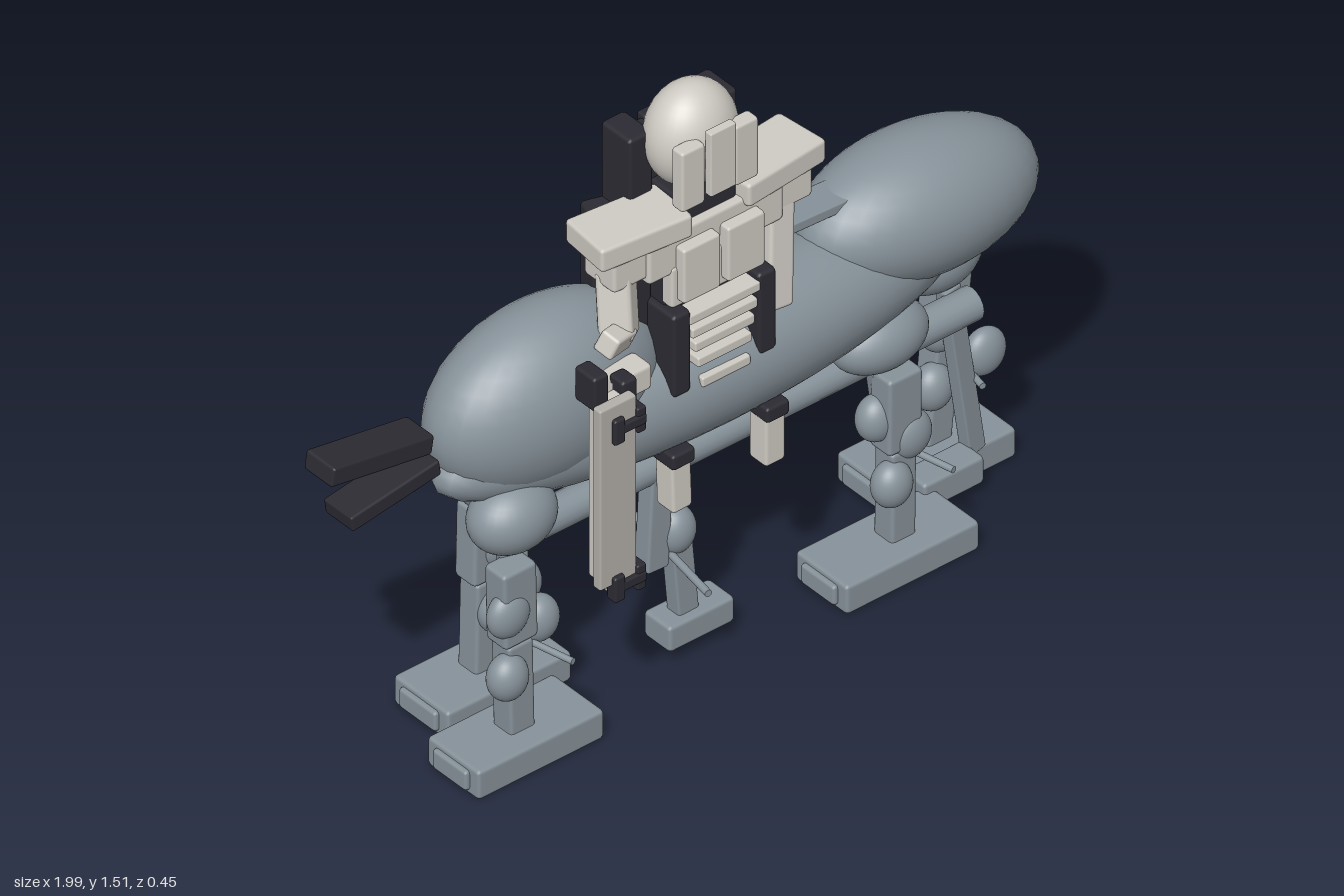
import * as THREE from 'three';
import { RoundedBoxGeometry } from 'three/addons/geometries/RoundedBoxGeometry.js';

const mat = (name, color) => Object.assign(new THREE.MeshStandardMaterial({ color }), { name });

export function createModel() {
  const grey = mat('steel grey', 0x87929a);
  const light = mat('pale armour', 0xcfcbc4);
  const panel = mat('shield panel', 0xb3afa9);
  const dark = mat('dark frame', 0x2c2b33);
  const model = new THREE.Group();
  model.name = 'walker';

  const add = (name, geo, m, p, parent = model) => {
    const mesh = new THREE.Mesh(geo, m);
    mesh.name = name;
    mesh.position.set(...p);
    parent.add(mesh);
    return mesh;
  };
  // softly bevelled box given by its extents in x, y and z
  const box = (name, m, [x0, x1], [y0, y1], [z0, z1], parent) => {
    const s = [x1 - x0, y1 - y0, z1 - z0];
    const geo = new RoundedBoxGeometry(...s, 1, Math.min(0.01, Math.min(...s) * 0.2));
    return add(name, geo, m, [(x0 + x1) / 2, (y0 + y1) / 2, (z0 + z1) / 2], parent);
  };
  const egg = (name, m, p, r, parent) => {
    const e = add(name, new THREE.SphereGeometry(1, 32, 20), m, p, parent);
    e.scale.set(...r);
    return e;
  };
  // box of section w by d reaching from a to b
  const strut = (name, m, a, b, w, d, parent) => {
    const A = new THREE.Vector3(...a), B = new THREE.Vector3(...b);
    const dir = B.clone().sub(A);
    const geo = new RoundedBoxGeometry(w, dir.length(), d, 1, Math.min(w, d) * 0.15);
    const s = add(name, geo, m, A.add(B).multiplyScalar(0.5).toArray(), parent);
    s.quaternion.setFromUnitVectors(new THREE.Vector3(0, 1, 0), dir.normalize());
    return s;
  };
  const rod = (name, m, a, b, r, parent) => {
    const A = new THREE.Vector3(...a), B = new THREE.Vector3(...b);
    const dir = B.clone().sub(A);
    const c = add(name, new THREE.CylinderGeometry(r, r, dir.length(), 16), m,
      A.add(B).multiplyScalar(0.5).toArray(), parent);
    c.quaternion.setFromUnitVectors(new THREE.Vector3(0, 1, 0), dir.normalize());
  };

  // long body
  egg('barrel', grey, [0.05, 0.745, -0.015], [0.74, 0.163, 0.167]);
  egg('rearMass', grey, [-0.375, 0.845, -0.03], [0.31, 0.218, 0.17]).rotation.z = 0.03;
  egg('frontMass', grey, [0.675, 0.85, -0.027], [0.316, 0.17, 0.172]).rotation.z = -0.07;
  rod('underBeam', grey, [-0.5, 0.52, 0], [0.81, 0.52, 0], 0.041);
  strut('backRail', grey, [0.2, 0.975, -0.035], [0.47, 0.962, -0.035], 0.026, 0.09);

  // split tail
  strut('upperTail', dark, [-1, 0.928, -0.033], [-0.715, 0.882, -0.033], 0.05, 0.095);
  strut('lowerTail', dark, [-0.945, 0.775, -0.033], [-0.695, 0.812, -0.033], 0.042, 0.095);

  // four jointed legs: hip, upright, foot extents, knees
  const legs = [
    { name: 'rearOuterLeg', hip: [-0.53, 0.63, 0.055], r: [0.11, 0.088, 0.085],
      top: [-0.55, 0.52, 0.075], low: [-0.54, 0.07, 0.075], foot: [-0.715, -0.36], z: [-0.01, 0.165],
      knees: [[-0.58, 0.24, 0.1], [-0.57, 0.4, 0.09], [-0.46, 0.32, 0.06]] },
    { name: 'rearInnerLeg', hip: [-0.43, 0.61, -0.095], r: [0.115, 0.088, 0.088],
      top: [-0.45, 0.52, -0.14], low: [-0.46, 0.07, -0.14], foot: [-0.63, -0.28], z: [-0.225, -0.04],
      knees: [[-0.44, 0.24, -0.1], [-0.42, 0.4, -0.12], [-0.41, 0.32, -0.06]] },
    { name: 'frontOuterLeg', hip: [0.505, 0.61, 0.05], r: [0.125, 0.08, 0.082],
      top: [0.535, 0.52, 0.075], low: [0.53, 0.07, 0.075], foot: [0.32, 0.695], z: [-0.01, 0.165],
      knees: [[0.5, 0.24, 0.1], [0.56, 0.34, 0.09], [0.49, 0.4, 0.06]] },
    { name: 'frontInnerLeg', hip: [0.775, 0.62, -0.095], r: [0.125, 0.09, 0.09],
      top: [0.86, 0.55, -0.14], low: [0.81, 0.06, -0.14], foot: [0.615, 0.97], z: [-0.225, -0.04],
      knees: [[0.79, 0.24, -0.11], [0.89, 0.32, -0.055], [0.8, 0.4, -0.1]] },
  ];
  for (const l of legs) {
    const g = new THREE.Group();
    g.name = l.name;
    model.add(g);
    egg('hip', grey, l.hip, l.r, g);
    const mid = l.top.map((v, i) => v * 0.55 + l.low[i] * 0.45);
    strut('upperLeg', grey, l.top, mid, 0.095, 0.07, g);
    strut('lowerLeg', grey, mid, l.low, 0.07, 0.065, g);
    const side = Math.sign(l.top[2]);
    strut('innerStrut', grey, [l.hip[0], 0.56, side * 0.04], [l.low[0] + 0.04, 0.08, side * 0.045], 0.05, 0.035, g);
    l.knees.forEach((k, i) => egg('knee', grey, k, i === 1 ? [0.055, 0.06, 0.035] : [0.05, 0.058, 0.043], g));
    rod('crossPin', grey, [l.low[0] + 0.07, 0.28, side * 0.19], [l.low[0] + 0.03, 0.28, 0], 0.008, g);
    box('foot', grey, l.foot, [0.005, 0.082], l.z, g);
    box('toeTab', grey, [l.foot[0] - 0.012, l.foot[0] + 0.03], [0.018, 0.07], [l.z[0] + 0.03, l.z[1] - 0.03], g);
  }
  box('frontFootLink', grey, [0.66, 0.83], [0.035, 0.108], [-0.06, 0.02]);

  // small middle leg
  strut('middleUpperLeg', grey, [-0.085, 0.52, 0.01], [-0.1, 0.255, 0.01], 0.062, 0.05);
  egg('middleKnee', grey, [-0.035, 0.325, 0.01], [0.05, 0.06, 0.045]);
  strut('middleLowerLeg', grey, [-0.035, 0.32, 0.015], [-0.015, 0.1, 0.015], 0.058, 0.045);
  box('middleFoot', grey, [-0.09, 0.095], [0.04, 0.108], [-0.03, 0.06]);
  rod('middlePin', grey, [-0.09, 0.28, 0.19], [-0.03, 0.28, -0.15], 0.009);

  // rider: head and face plates
  const rider = new THREE.Group();
  rider.name = 'rider';
  model.add(rider);
  egg('head', light, [0, 1.39, 0.022], [0.113, 0.13, 0.094], rider);
  box('faceCentre', light, [-0.036, 0.036], [1.29, 1.46], [0.112, 0.134], rider);
  box('neck', dark, [-0.075, 0.075], [1.17, 1.27], [-0.03, 0.09], rider);

  // rider: torso
  box('torsoCore', dark, [-0.13, 0.13], [0.8, 1.2], [-0.03, 0.095], rider);
  box('chestBlock', light, [-0.19, 0.19], [1.11, 1.22], [-0.02, 0.11], rider);
  box('lowerChest', light, [-0.13, 0.13], [1.02, 1.13], [-0.02, 0.115], rider);
  [0.99, 0.95, 0.91, 0.865, 0.81].forEach((y, i) => {
    const w = 0.1 - i * 0.008;
    box('abdomenSlat', light, [-w, w], [y - 0.013, y + 0.013], [0.06, 0.14 + (i === 4 ? 0.005 : 0)], rider);
  });
  for (const s of [-1, 1]) {
    const span = (a, b) => (s > 0 ? [a, b] : [-b, -a]);
    box('facePlate', light, span(0.042, 0.108), [1.275, 1.435], [0.085, 0.124], rider);
    box('chestPlate', light, span(0.01, 0.115), [1.04, 1.185], [0.1, 0.138], rider);
    box('shoulderPad', light, span(0.07, 0.31), [1.2, 1.262], [-0.03, 0.115], rider).rotation.y = s * 0.1;
    box('shoulderUnder', light, span(0.17, 0.28), [1.125, 1.21], [-0.005, 0.1], rider);
    box('waistStrap', dark, span(0.095, 0.145), [0.8, 1.02], [0.03, 0.14], rider);
    box('sideFrame', dark, span(0.13, 0.2), [0.92, 1.14], [-0.06, 0.05], rider);
    // peg legs hanging below the barrel
    strut('peg', light, [s * 0.15 - (s < 0 ? -0.04 : 0), 0.48, 0.1], [s * 0.15 - (s < 0 ? -0.035 : 0), 0.62, 0.1], 0.056, 0.06, rider);
    box('pegCap', dark, s > 0 ? [0.118, 0.182] : [-0.147, -0.083], [0.605, 0.645], [0.06, 0.14], rider);
    // back pack
    box('packTower', dark, span(0.085, 0.152), [0.93, 1.42], [-0.1, 0], rider);
    box('packSide', dark, span(0.13, 0.212), [0.9, 1.22], [-0.105, -0.03], rider).rotation.y = s * 0.3;
  }
  box('packSpine', dark, [-0.1, 0.1], [0.9, 1.37], [-0.108, -0.045], rider);
  box('packRidge', dark, [-0.035, 0.035], [0.92, 1.38], [-0.118, -0.09], rider);

  // rider: arms
  strut('leftArm', light, [0.2, 1.15, 0.06], [0.17, 0.88, 0.09], 0.075, 0.07, rider);
  strut('rightUpperArm', light, [-0.235, 1.15, 0.05], [-0.25, 0.99, 0.08], 0.08, 0.07, rider);
  strut('rightElbow', light, [-0.24, 1.0, 0.09], [-0.32, 1.02, 0.12], 0.055, 0.05, rider);
  box('rightForearm', light, [-0.33, -0.225], [0.885, 0.952], [0.1, 0.165], rider);

  // tall shield with dark clips
  const shield = new THREE.Group();
  shield.name = 'shield';
  model.add(shield);
  box('shieldFront', panel, [-0.415, -0.312], [0.455, 0.94], [0.188, 0.215], shield);
  box('shieldBack', light, [-0.4, -0.325], [0.46, 0.93], [0.155, 0.185], shield);
  box('topHook', dark, [-0.41, -0.368], [0.92, 1.01], [0.12, 0.19], shield);
  box('upperGrip', dark, [-0.33, -0.288], [0.83, 0.962], [0.14, 0.19], shield);
  for (const y of [0.87, 0.445]) {
    box('clipBar', dark, [-0.38, -0.29], [y - 0.012, y + 0.014], [0.15, 0.225], shield);
    box('clipEnd', dark, [-0.382, -0.352], [y - 0.033, y + 0.034], [0.195, 0.227], shield);
    box('clipSide', dark, [-0.315, -0.29], [y - 0.033, y + 0.034], [0.17, 0.222], shield);
  }
  box('lowerPad', light, [-0.36, -0.282], [0.4, 0.46], [0.125, 0.18], shield);
  return model;
}
